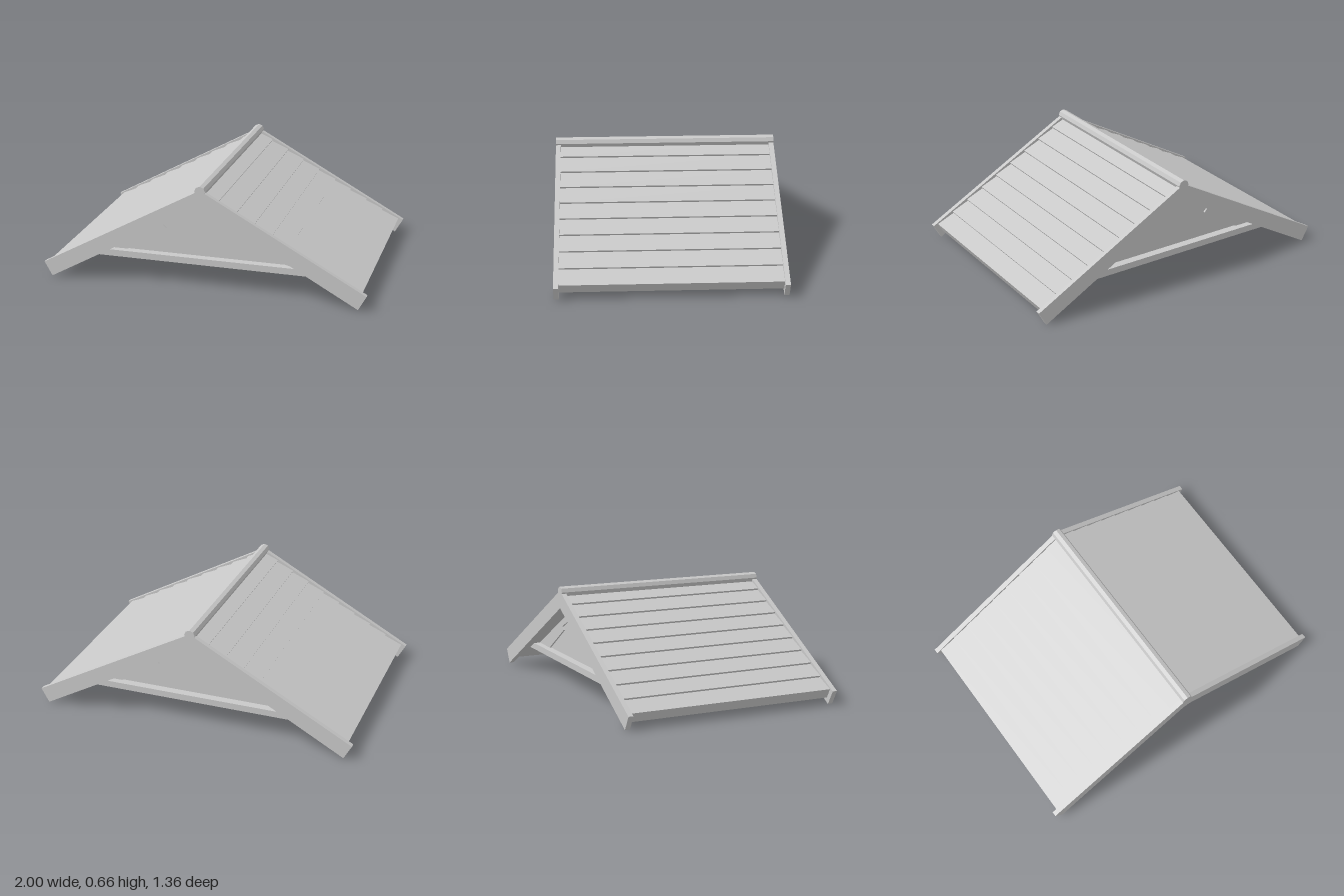
import * as THREE from 'three';

const APEX = 0.64, EAVE = 0.088;
const LEN = Math.hypot(1, APEX - EAVE);
const C = 1 / LEN, S = (APEX - EAVE) / LEN;

// point at distance t down the slope and depth d below the roof line
const onSlope = (t, d) => [t * C - d * S, APEX - t * S - d * C];
// height of a line parallel to the roof at depth d, at distance x from the middle
const lineY = (x, d) => APEX - d / C - x * S / C;
const lineX = (y, d) => (APEX - d / C - y) * C / S;

export function createModel() {
  const grey = new THREE.MeshStandardMaterial({ color: 0xc8c8c8 });
  grey.name = 'plain grey';
  const model = new THREE.Group();
  model.name = 'gableRoof';

  // extrude an outline between two z values
  const slab = (name, pts, z0, z1) => {
    const shape = new THREE.Shape(pts.map(([x, y]) => new THREE.Vector2(x, y)));
    const geo = new THREE.ExtrudeGeometry(shape, { depth: z1 - z0, bevelEnabled: false });
    geo.translate(0, 0, z0);
    const mesh = new THREE.Mesh(geo, grey);
    mesh.name = name;
    model.add(mesh);
  };
  // slab placed at the front and mirrored to the back
  const bothEnds = (name, pts, z0, z1) => {
    slab('front' + name, pts, z0, z1);
    slab('back' + name, pts, -z1, -z0);
  };
  const mirrored = (half) => [...half, ...half.filter(p => p[0] > 0).reverse().map(([x, y]) => [-x, y])];

  // lapped planks: saw-tooth slope, one per side
  const planks = 9, step = 1.1126 / planks, under = 0.074, low = 0.02, high = 0.008;
  const profile = [[0, lineY(0, low)]];
  for (let i = 1; i <= planks; i++) {
    profile.push(onSlope(i * step, high));
    if (i < planks) profile.push(onSlope(i * step, low));
  }
  profile.push(onSlope(planks * step, under), [0, lineY(0, under)]);
  slab('leftRoofPlanks', profile, -0.65, 0.65);
  slab('rightRoofPlanks', profile.map(([x, y]) => [-x, y]), -0.65, 0.65);

  // chevron bargeboards
  const tip = onSlope(LEN, 0), foot = onSlope(LEN, 0.1);
  const flip = ([x, y]) => [-x, y];
  bothEnds('Bargeboard',
    [[0, APEX], tip, foot, [0, lineY(0, 0.095)], flip(foot), flip(tip)], 0.65, 0.68);

  // gable walls
  const base = 0.14, beamTop = 0.18;
  bothEnds('GableWall',
    mirrored([[0, lineY(0, under)], [lineX(base, under), base]]), 0.45, 0.55);

  // tie beams along the foot of each gable
  const bx = lineX(base, under), tx = lineX(beamTop, under);
  bothEnds('TieBeam', [[-bx, base], [bx, base], [tx, beamTop], [-tx, beamTop]], 0.55, 0.6);

  // stepped trim under the rafters
  const trim = [[0, lineY(0, under)], [tx, beamTop], [0.5, beamTop],
    [0.25, 0.34], [0.27, 0.36], [0, 0.505]];
  for (const [side, sx] of [['Left', 1], ['Right', -1]]) {
    bothEnds(side + 'GableTrim', trim.map(([x, y]) => [sx * x, y]), 0.55, 0.56);
  }

  // octagonal ridge pole
  const pole = new THREE.CylinderGeometry(0.033, 0.033, 1.36, 8).toNonIndexed();
  pole.computeVertexNormals();
  pole.rotateX(Math.PI / 2);
  const ridge = new THREE.Mesh(pole, grey);
  ridge.name = 'ridgePole';
  ridge.position.y = 0.632;
  model.add(ridge);

  return model;
}
